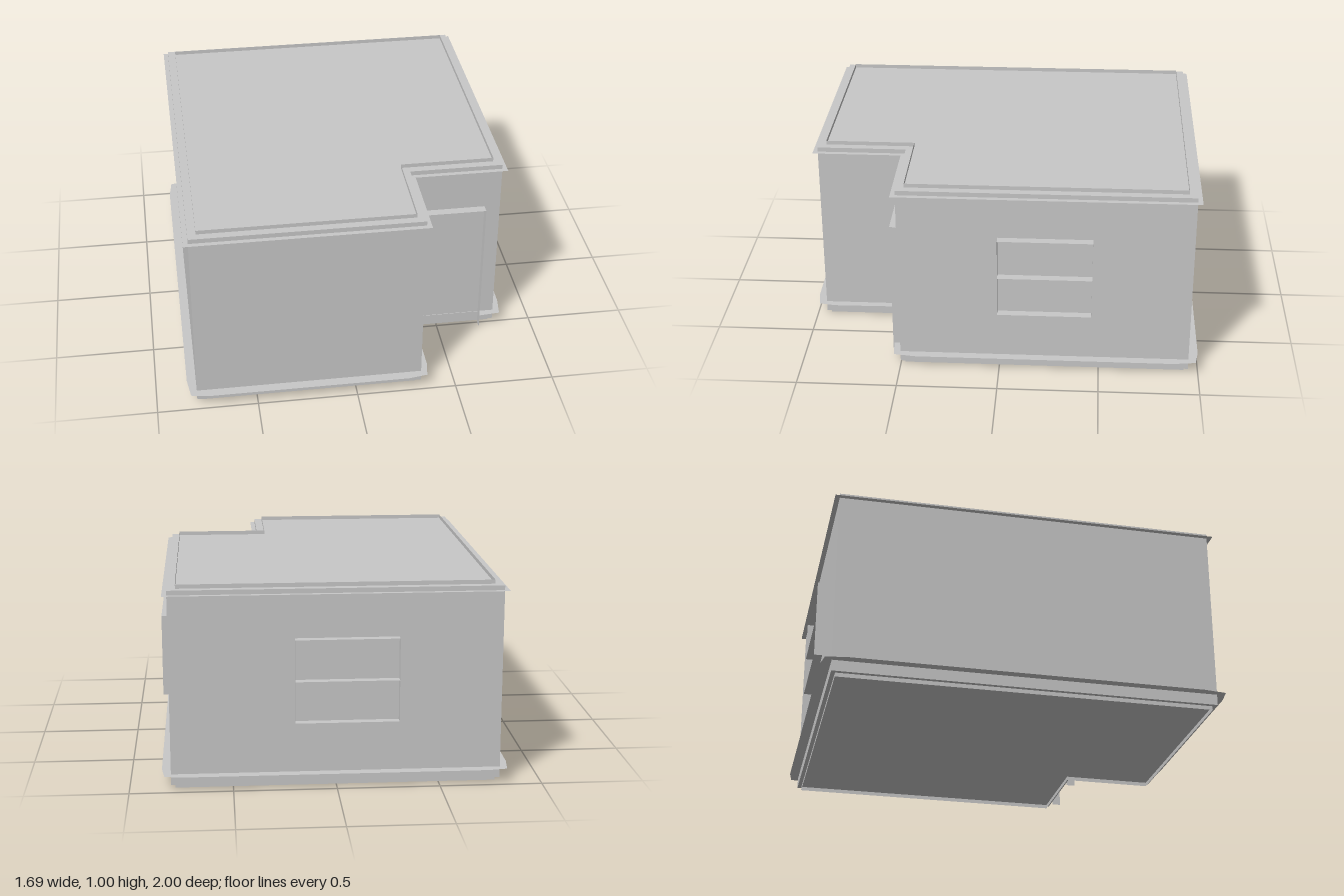
import * as THREE from 'three';

const plaster = new THREE.MeshStandardMaterial({ color: 0xc8c8c8, side: THREE.DoubleSide, flatShading: true });
plaster.name = 'plasterGrey';

// L-shaped footprint as [x, z], grown outward by d
const footprint = (d) => [
  [-0.8 - d, 0.95 + d], [0.33 + d, 0.95 + d], [0.33 + d, 0.5 + d],
  [0.8 + d, 0.5 + d], [0.8 + d, -0.95 - d], [-0.8 - d, -0.95 - d],
];
const flat = (pts) => pts.map(([x, z]) => new THREE.Vector2(x, -z));

// Open sheet swept between two heights along a path of [x, z] points
function band(pts, y0, y1) {
  const pos = [], idx = [];
  pts.forEach(([x, z], i) => {
    const [nx, nz] = pts[(i + 1) % pts.length], k = i * 4;
    pos.push(x, y0, z, nx, y0, nz, nx, y1, nz, x, y1, z);
    idx.push(k, k + 1, k + 2, k, k + 2, k + 3);
  });
  const g = new THREE.BufferGeometry();
  g.setAttribute('position', new THREE.Float32BufferAttribute(pos, 3));
  g.setIndex(idx);
  g.computeVertexNormals();
  return g.toNonIndexed();
}

// Horizontal sheet between the walls and an outer outline
function ledge(outer, y) {
  const shape = new THREE.Shape(flat(outer));
  shape.holes.push(new THREE.Path(flat(footprint(-0.002))));
  return new THREE.ShapeGeometry(shape).rotateX(-Math.PI / 2).translate(0, y, 0);
}

function add(parent, name, geometry) {
  const mesh = new THREE.Mesh(geometry, plaster);
  mesh.name = name;
  parent.add(mesh);
  return mesh;
}

// Frame of thin sheets standing out from a wall, facing +z, centred on x = 0
function frame(name, width, y0, y1, depth, rails) {
  const group = new THREE.Group();
  group.name = name;
  for (const s of [-1, 1]) {
    const side = new THREE.PlaneGeometry(depth, y1 - y0).rotateY(Math.PI / 2);
    add(group, 'frameSide', side.translate(s * width / 2, (y0 + y1) / 2, depth / 2));
  }
  for (const y of rails) {
    const rail = new THREE.PlaneGeometry(width, depth).rotateX(-Math.PI / 2);
    add(group, 'frameRail', rail.translate(0, y, depth / 2));
  }
  return group;
}

export function createModel() {
  const room = new THREE.Group();
  room.name = 'room';

  // Walls with floor and flat roof
  const walls = new THREE.ExtrudeGeometry(new THREE.Shape(flat(footprint(0))), { depth: 0.96, bevelEnabled: false });
  add(room, 'walls', walls.rotateX(-Math.PI / 2).translate(0, 0.02, 0));

  // Thin upstand on the roof and skirt below the floor
  add(room, 'roofRim', band(footprint(-0.04), 0.98, 1.0));
  add(room, 'floorSkirt', band(footprint(-0.02), 0, 0.02));

  // Cornice ledge under the roof
  add(room, 'cornice', ledge(footprint(0.024), 0.957));

  // Base ledge, slightly drawn in at the corners and interrupted at the door
  const base = [
    [-0.83, 0.985], [-0.74, 1.0], [0.26, 1.0], [0.355, 0.985], [0.37, 0.9], [0.365, 0.54],
    [0.4, 0.543], [0.4, 0.503], [0.72, 0.503], [0.72, 0.54],
    [0.83, 0.53], [0.845, 0.42], [0.845, -0.87], [0.83, -0.985],
    [0.74, -1.0], [-0.74, -1.0], [-0.83, -0.985], [-0.845, -0.87], [-0.845, 0.87],
  ];
  add(room, 'baseLedge', ledge(base, 0.075));

  // Door surround in the recess
  const door = frame('doorFrame', 0.32, 0.005, 0.74, 0.045, [0.74]);
  door.position.set(0.56, 0, 0.5);
  room.add(door);

  // Windows on the right-hand and back walls
  const sideWindow = frame('sideWindow', 0.465, 0.33, 0.74, 0.042, [0.33, 0.535, 0.74]);
  sideWindow.position.set(0.8, 0, -0.225);
  sideWindow.rotation.y = Math.PI / 2;
  const backWindow = frame('backWindow', 0.5, 0.33, 0.74, 0.042, [0.33, 0.535, 0.74]);
  backWindow.position.set(-0.05, 0, -0.95);
  backWindow.rotation.y = Math.PI;
  room.add(sideWindow, backWindow);

  return room;
}
